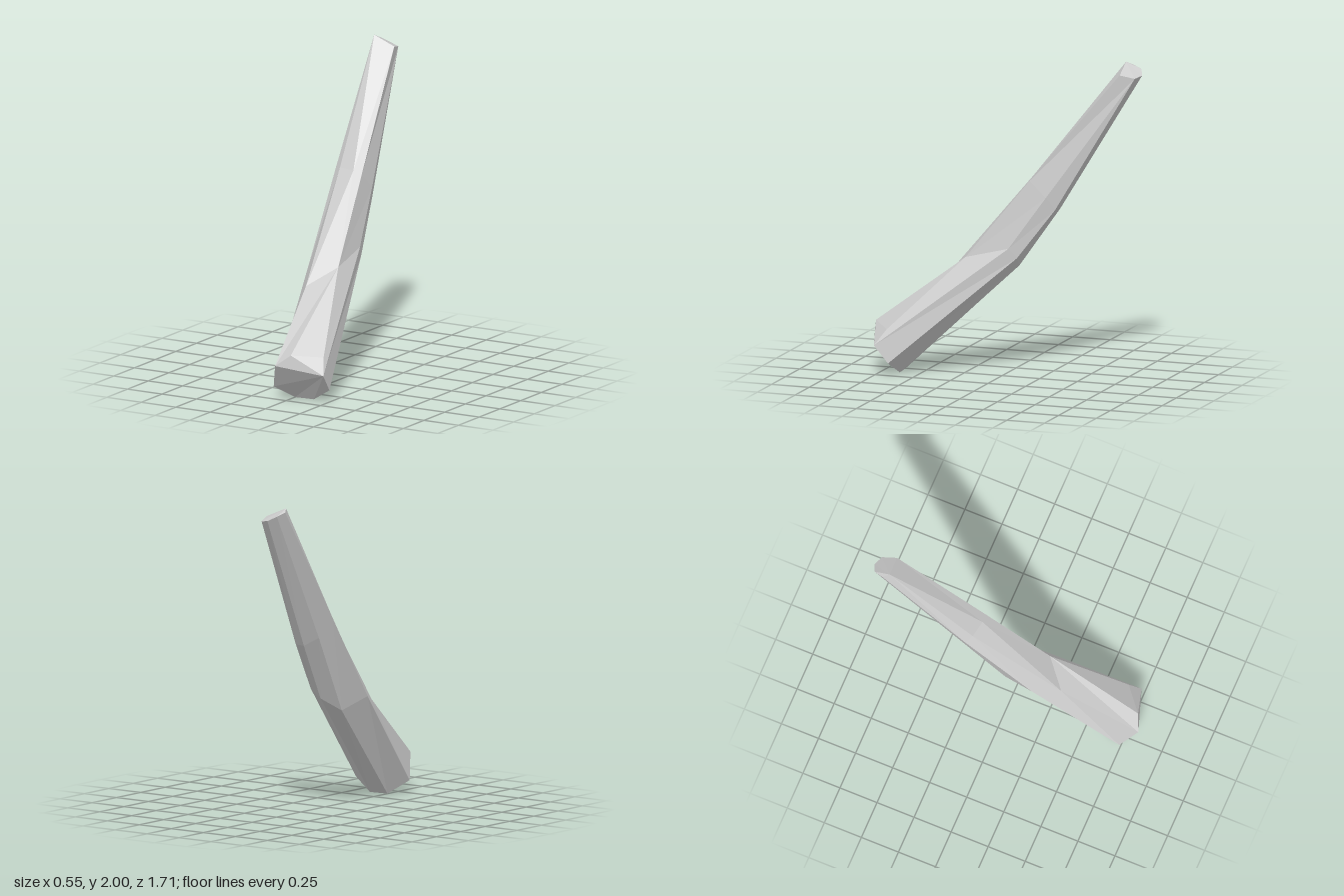
import * as THREE from 'three';

// Cross-sections from the thick lower end to the thin upper end.
// Each runs: ridge, top, top right, right, lower right, bottom, lower left, left.
const SECTIONS = [
  [[-0.02, 0.24, 0.85], [0.07, 0.31, 0.81], [0.23, 0.29, 0.68], [0.27, 0.19, 0.75],
    [0.26, 0.08, 0.66], [0.13, 0, 0.63], [0, 0, 0.64], [-0.09, 0.08, 0.75]],
  [[-0.09, 0.64, 0.36], [0.06, 0.75, 0.22], [0.06, 0.75, 0.22], [0.05, 0.82, -0.06],
    [0.03, 0.76, -0.11], [-0.04, 0.7, -0.1], [-0.13, 0.62, 0], [-0.18, 0.69, 0.2]],
  [[-0.18, 1.27, -0.2], [-0.07, 1.27, -0.18], [-0.01, 1.25, -0.18], [0, 1.15, -0.29],
    [-0.03, 1.07, -0.34], [-0.1, 1.07, -0.35], [-0.18, 1.12, -0.3], [-0.23, 1.25, -0.23]],
  [[-0.25, 2, -0.73], [-0.25, 2, -0.73], [-0.11, 1.94, -0.74], [-0.135, 1.92, -0.83],
    [-0.135, 1.92, -0.83], [-0.2, 1.93, -0.855], [-0.255, 1.96, -0.83], [-0.275, 1.98, -0.77]],
];

// Collect triangles, skipping those that collapse where corners merge
function makeMesh(name, triangles, material) {
  const same = (a, b) => a.every((v, i) => v === b[i]);
  const solid = triangles.filter(([a, b, c]) => !same(a, b) && !same(b, c) && !same(c, a));
  const geometry = new THREE.BufferGeometry();
  geometry.setAttribute('position', new THREE.Float32BufferAttribute(solid.flat(2), 3));
  geometry.computeVertexNormals();
  const mesh = new THREE.Mesh(geometry, material);
  mesh.name = name;
  return mesh;
}

// Fan of triangles closing an end, spread from the chosen corner
function fan(ring, start) {
  const n = ring.length;
  const at = (i) => ring[(start + i) % n];
  const triangles = [];
  for (let i = 1; i < n - 1; i++) triangles.push([at(0), at(i), at(i + 1)]);
  return triangles;
}

export function createModel() {
  const group = new THREE.Group();
  group.name = 'bentLog';
  const grey = new THREE.MeshStandardMaterial({ color: 0xcccccc });
  grey.name = 'light grey';

  // Faceted sides joining neighbouring sections
  const sides = [];
  for (let s = 0; s < SECTIONS.length - 1; s++) {
    const near = SECTIONS[s], far = SECTIONS[s + 1];
    near.forEach((a, i) => {
      const j = (i + 1) % near.length;
      sides.push([a, near[j], far[j]], [a, far[j], far[i]]);
    });
  }
  group.add(makeMesh('shaft', sides, grey));

  // Cut ends
  const lower = [...SECTIONS[0]].reverse();
  group.add(makeMesh('lowerEnd', fan(lower, 4), grey));
  group.add(makeMesh('upperEnd', fan(SECTIONS[SECTIONS.length - 1], 0), grey));
  return group;
}
